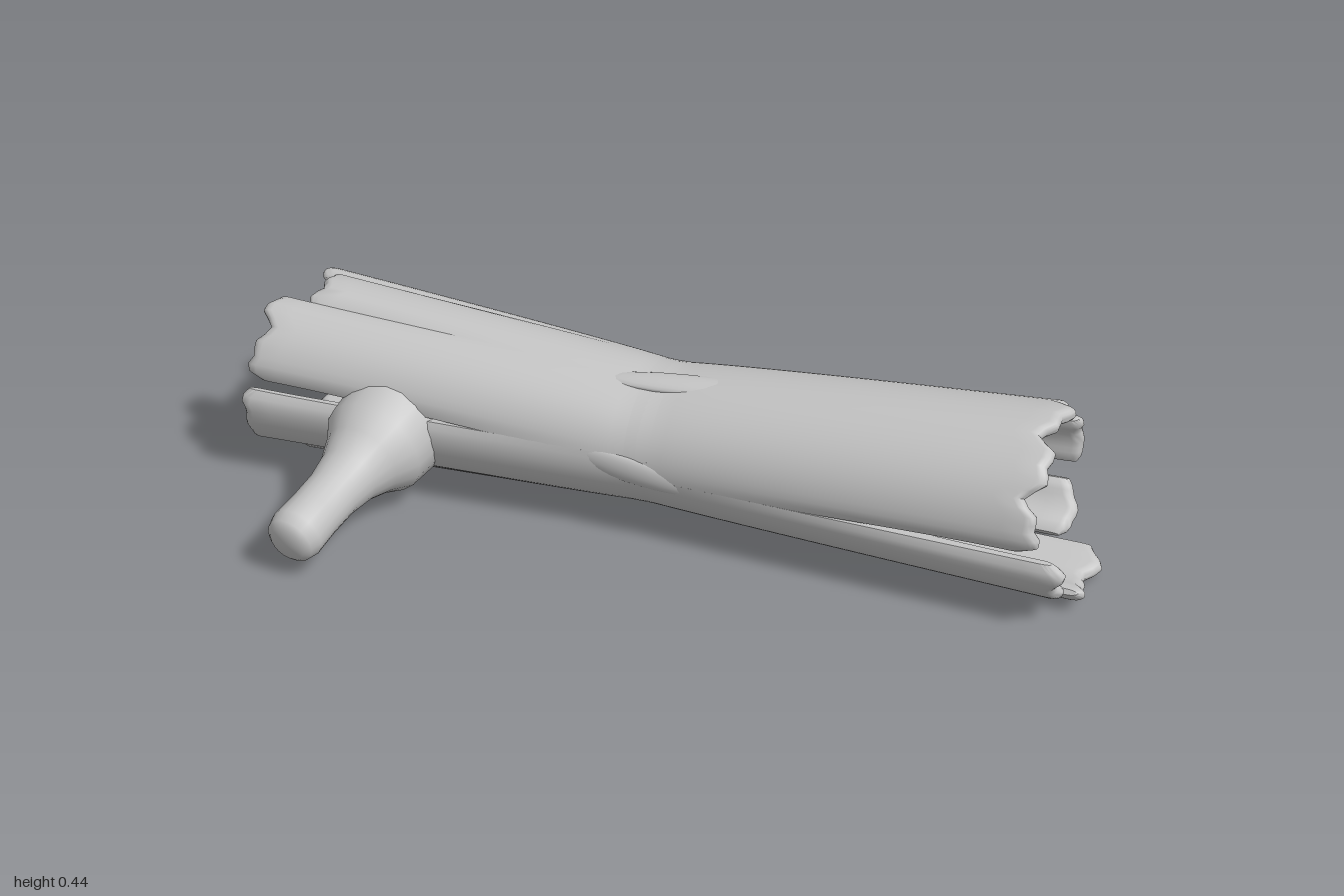
import * as THREE from 'three';
import { toCreasedNormals } from 'three/addons/utils/BufferGeometryUtils.js';

const RAD = Math.PI / 180;
const smooth = (a, b, x) => THREE.MathUtils.smoothstep(x, a, b);
const mix = THREE.MathUtils.lerp;

// Log cross-section: an ellipse, pinched at the middle and wider at both ends.
// Local axes: x along the log, y up, z across it; angle 0 = front, 90 = top.
function wallPoint(x, angle, inset, bulge) {
  const t = Math.pow(Math.min(Math.abs(x), 1), 0.85);
  const c = Math.cos(angle * RAD), s = Math.sin(angle * RAD);
  return [
    x,
    mix(0.208, 0.238, t) + (mix(0.16, 0.222, t) - inset + bulge * t) * s,
    mix(-0.033, -0.022, t) + (mix(0.195, 0.242, t) - inset + bulge * t) * c,
  ];
}

// Splintered staves at each end: [start angle, end angle, length, jaggedness]
const RIGHT_HALF = [
  [-4, 138, 0.95, 0.03],
  [148, 188, 0.97, 0.01],
  [201, 240, 0.97, 0.012],
  [243, 302, 1.05, 0.02],
  [306, 350, 1.02, 0.015],
];
const LEFT_HALF = [
  [13, 74, 0.97, 0.025],
  [74, 116, 0.89, 0.02],
  [119, 142, 0.95, 0.012],
  [146, 208, 0.965, 0.012],
  [212, 256, 0.94, 0.02],
  [258, 308, 0.92, 0.015],
  [312, 365, 1.0, 0.008],
];

// One curved stave with rounded rim, closing against its neighbours at the middle
function staveGeometry(staves, k, side) {
  const n = staves.length;
  const [a0, a1, tip, jag] = staves[k];
  const before = k ? staves[k - 1][1] : staves[n - 1][1] - 360;
  const after = k < n - 1 ? staves[k + 1][0] : staves[0][0] + 360;
  const m0 = (before + a0) / 2 - 1.5, m1 = (a1 + after) / 2 + 1.5;
  const arc = Math.max(10, Math.round((a1 - a0) / 5));
  const body = 20, cap = 4, rings = body + cap;
  const positions = [], index = [];

  for (let i = 0; i <= rings; i++) {
    const capT = Math.max(0, (i - body) / cap);
    const along = i <= body ? (i / body) * 0.975 : 0.975 + 0.025 * Math.sin(capT * Math.PI / 2);
    const capThickness = Math.cos(capT * Math.PI / 2);
    const open = smooth(0.1, 0.95, along);
    for (let layer = 0; layer < 2; layer++) {
      for (let q = 0; q <= arc; q++) {
        const j = layer ? arc - q : q;
        const f = j / arc;
        const edge = Math.min(j, arc - j);
        // broken, corner-trimmed end
        const ragged = jag * (0.6 * Math.sin(f * (a1 - a0) * 0.14 + k * 2.1) +
          0.4 * Math.sin(f * (a1 - a0) * 0.31 + k)) - (edge === 0 ? 0.022 : edge === 1 ? 0.008 : 0);
        const x = side * mix(-0.03, tip + ragged * smooth(0.5, 1, along), along);
        const angle = mix(mix(m0, a0, open), mix(m1, a1, open), f);
        const round = edge === 0 ? mix(1, 0.35, open) : edge === 1 ? mix(1, 0.85, open) : 1;
        const half = 0.019 * round * capThickness;
        const bulge = 0.008 * (Math.sin(f * Math.PI) - 0.5);
        positions.push(...wallPoint(x, angle, 0.019 + (layer ? half : -half), bulge));
      }
    }
  }

  const loop = 2 * (arc + 1);
  for (let i = 0; i < rings; i++) {
    for (let j = 0; j < loop; j++) {
      const a = i * loop + j, b = i * loop + (j + 1) % loop;
      const c = b + loop, d = a + loop;
      if (side > 0) index.push(a, d, b, b, d, c);
      else index.push(a, b, d, b, c, d);
    }
  }
  const g = new THREE.BufferGeometry();
  g.setAttribute('position', new THREE.Float32BufferAttribute(positions, 3));
  g.setIndex(index);
  return toCreasedNormals(g, 0.95);
}

// Broken side branch, flared where it leaves the trunk, with a rounded stub end
function branchMesh(material) {
  const base = new THREE.Vector3(-0.63, 0.19, -0.12);
  const end = new THREE.Vector3(-0.865, 0.108, 0.275);
  const length = base.distanceTo(end);
  const profile = [
    [0.14, 0], [0.13, 0.1], [0.1, 0.15], [0.077, 0.21], [0.066, 0.28],
    [0.065, 0.36], [0.068, length - 0.04], [0.06, length - 0.012], [0.045, length], [0, length + 0.004],
  ].map(([r, h]) => new THREE.Vector2(r, h));
  const mesh = new THREE.Mesh(toCreasedNormals(new THREE.LatheGeometry(profile, 20), 0.9), material);
  mesh.position.copy(base);
  mesh.quaternion.setFromUnitVectors(new THREE.Vector3(0, 1, 0), end.clone().sub(base).normalize());
  mesh.name = 'branch';
  return mesh;
}

export function createModel() {
  const wood = new THREE.MeshStandardMaterial({ color: 0xc4c4c4 });
  wood.name = 'grey wood';

  const model = new THREE.Group();
  model.name = 'hollowLog';

  // Trunk lies diagonally across the ground
  const trunk = new THREE.Group();
  trunk.name = 'trunk';
  trunk.rotation.y = -0.387;
  for (const [staves, side, label] of [[RIGHT_HALF, 1, 'left'], [LEFT_HALF, -1, 'right']]) {
    staves.forEach((_, k) => {
      const mesh = new THREE.Mesh(staveGeometry(staves, k, side), wood);
      mesh.name = `${label}Stave${k + 1}`;
      trunk.add(mesh);
    });
  }

  // Small raised splinters around the pinched middle: [x, angle, length, tilt]
  for (const [x, angle, len, tilt] of [[0.08, 80, 0.22, 0.12], [-0.02, 0, 0.2, -0.15], [0.05, 215, 0.2, 0.1]]) {
    const knot = new THREE.Mesh(new THREE.SphereGeometry(1, 16, 10), wood);
    knot.scale.set(len, 0.016, 0.035);
    knot.position.set(...wallPoint(x, angle, 0.008, 0));
    knot.rotation.set((90 - angle) * RAD, tilt, 0);
    knot.name = 'barkRidge';
    trunk.add(knot);
  }

  model.add(trunk, branchMesh(wood));
  return model;
}
